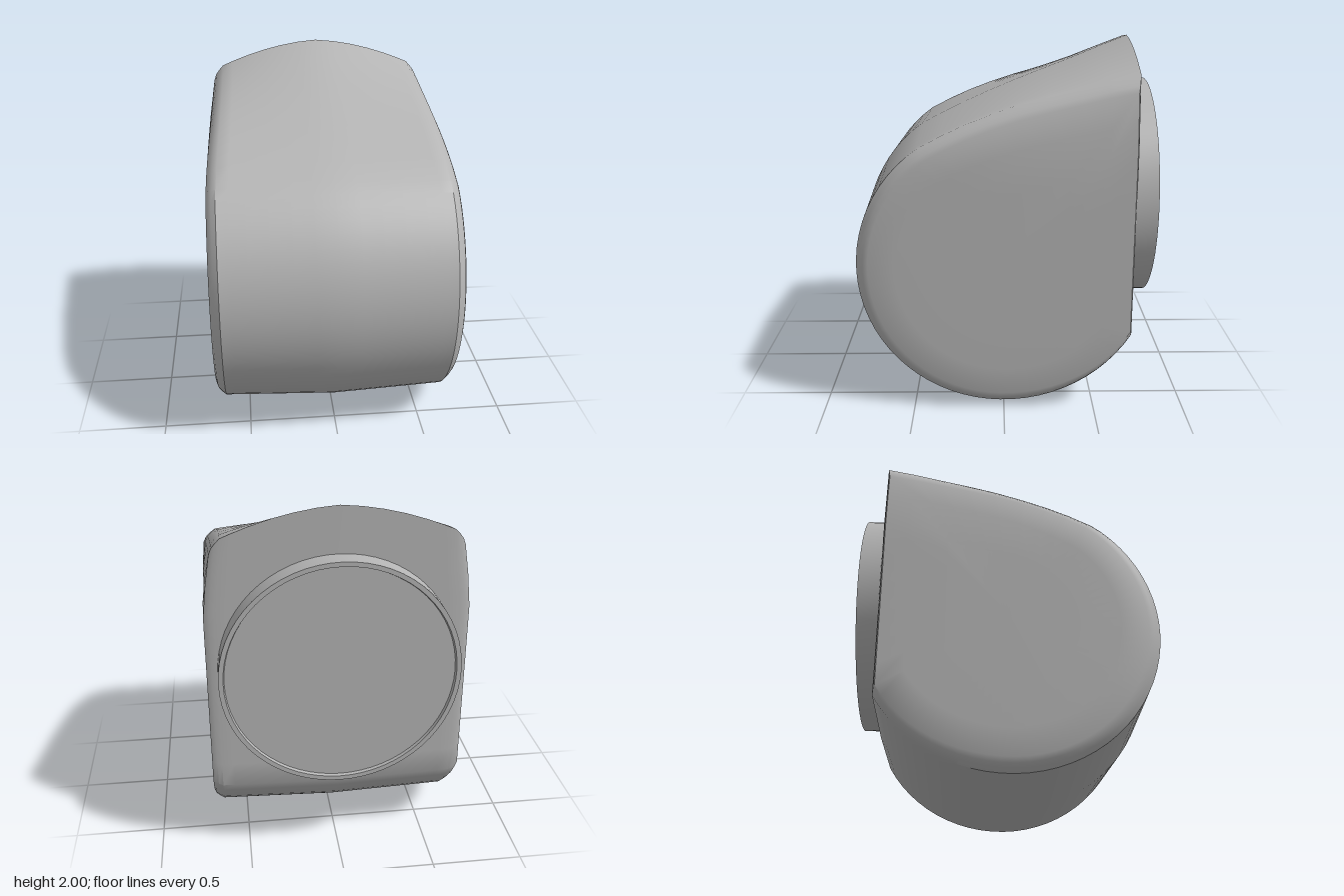
import * as THREE from 'three';
import { toCreasedNormals } from 'three/addons/utils/BufferGeometryUtils.js';

// Teardrop side outline as [z, y]: round belly and front, sloping top, flat back
function sideOutline() {
  const pts = [];
  for (let i = 0; i <= 40; i++) {
    const a = THREE.MathUtils.degToRad(-150 + (205 * i) / 40);
    pts.push([0.82 * Math.cos(a), 0.82 + 0.82 * Math.sin(a)]);
  }
  pts.push([0.34, 1.56], [0.22, 1.615], [0.08, 1.67], [-0.08, 1.725],
    [-0.24, 1.77], [-0.4, 1.81], [-0.56, 1.85], [-0.71, 1.88]);
  for (const y of [1.7, 1.5, 1.3, 1.1, 0.9, 0.7, 0.55]) pts.push([-0.71, y]);
  return pts;
}

// Loops of the outline across x, with a crowned roof and softened side edges
function bodyGeometry() {
  const outline = sideOutline();
  // [x, scale of the outline, shrink of the flat side cap]
  const half = [[0.12, 1, 1], [0.24, 1, 1], [0.36, 1, 1], [0.48, 1, 1], [0.57, 1, 1], [0.635, 1, 1],
    [0.66, 0.975, 1], [0.678, 0.95, 1], [0.688, 0.915, 1],
    [0.69, 0.915, 0.8], [0.69, 0.915, 0.5], [0.69, 0.915, 0]];
  const stations = [...half.map(([x, s, k]) => [-x, s, k]).reverse(), [0, 1, 1], ...half];
  const pos = [], index = [], n = outline.length;
  for (const [x, s, k] of stations) {
    const across = Math.min(1, Math.abs(x) / 0.64);
    const scale = s * (1 - 0.03 * across);
    for (const [z, y] of outline) {
      const t = Math.max(0, (0.45 - z) / 1.16);
      const crown = y > 1.5 && (z > -0.7 || y > 1.8) ? 0.12 * t * t * (1 - across * across) : 0;
      const pz = z * (z < 0 ? 1 - (1 - scale) * 0.25 * -z / 0.71 : scale) * k;
      const py = 0.85 + ((y + crown - 0.85) * scale) * k;
      const taper = 1 - 0.08 * THREE.MathUtils.smoothstep(py, 1.4, 1.9);
      pos.push(x * taper, py, pz);
    }
  }
  for (let i = 0; i < stations.length - 1; i++) {
    for (let j = 0; j < n; j++) {
      const a = i * n + j, b = i * n + ((j + 1) % n);
      if (stations[i][2] > 0) index.push(a, b + n, b);
      if (stations[i + 1][2] > 0) index.push(a, a + n, b + n);
    }
  }
  const geo = new THREE.BufferGeometry();
  geo.setAttribute('position', new THREE.Float32BufferAttribute(pos, 3));
  geo.setIndex(index);
  return toCreasedNormals(geo, THREE.MathUtils.degToRad(35));
}

// Short round collar with a shallow recessed face
function collarGeometry() {
  const profile = [[0.63, 0], [0.63, 0.125], [0.605, 0.125], [0.6, 0.108], [0, 0.108]]
    .map(([r, h]) => new THREE.Vector2(r, h));
  const geo = new THREE.LatheGeometry(profile, 64);
  geo.rotateX(-Math.PI / 2);
  return toCreasedNormals(geo, THREE.MathUtils.degToRad(35));
}

export function createModel() {
  const grey = new THREE.MeshStandardMaterial({ color: 0xb4b4b4 });
  grey.name = 'grey';
  const group = new THREE.Group();
  group.name = 'teardropHousing';

  const body = new THREE.Mesh(bodyGeometry(), grey);
  body.name = 'body';

  const collarMaterial = grey.clone();
  collarMaterial.side = THREE.DoubleSide;
  const collar = new THREE.Mesh(collarGeometry(), collarMaterial);
  collar.name = 'backCollar';
  collar.position.set(0, 1.12, -0.7);

  group.add(body, collar);
  return group;
}
